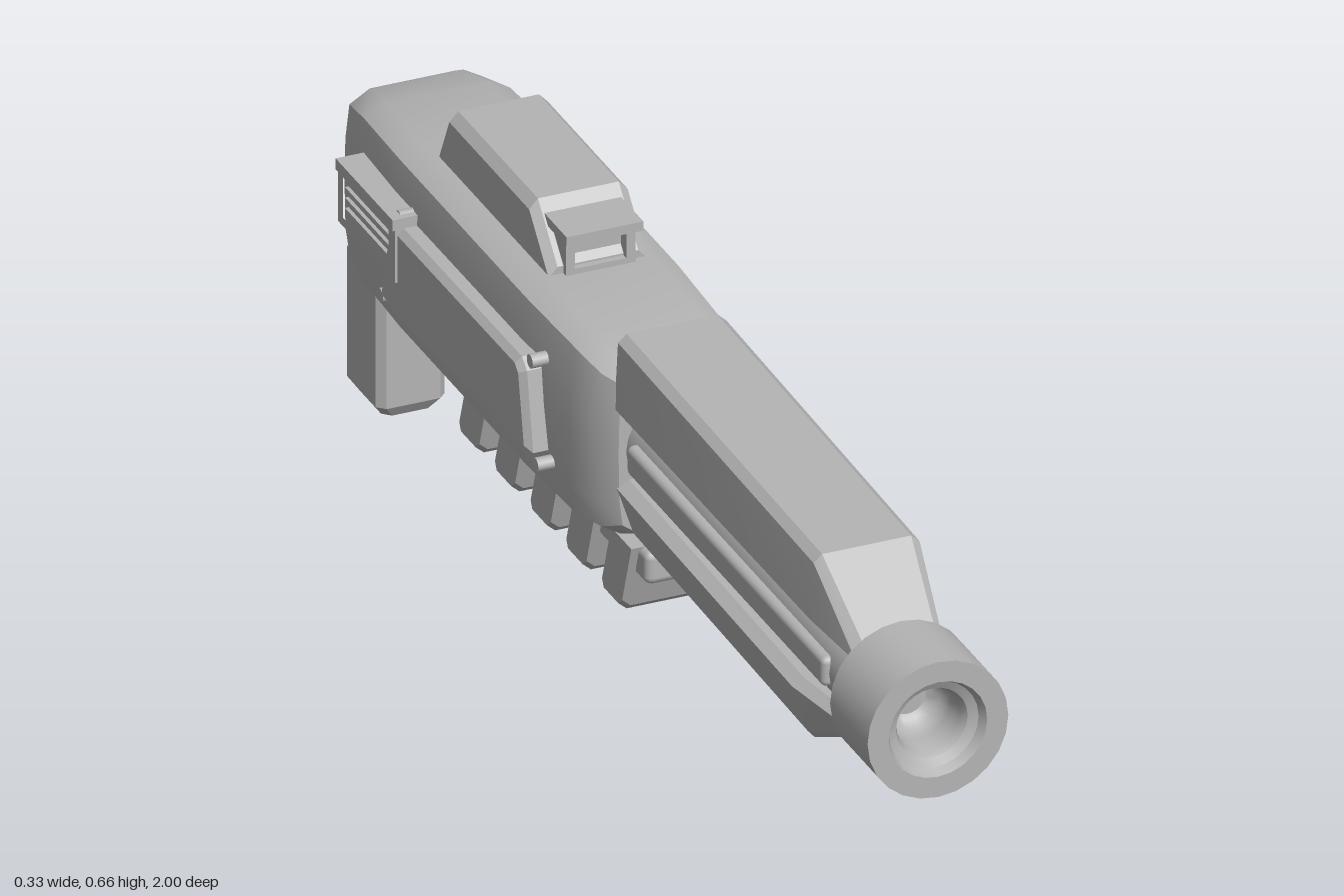
import * as THREE from 'three';
import { toCreasedNormals } from 'three/addons/utils/BufferGeometryUtils.js';
import { RoundedBoxGeometry } from 'three/addons/geometries/RoundedBoxGeometry.js';

const grey = new THREE.MeshStandardMaterial({ color: 0xb4b4b4 });
grey.name = 'plain grey';

// Mirrors the right half of a cross-section, listed from bottom to top
const sym = (half) => [...half, ...half.map(([x, y]) => [-x, y]).reverse()];

// Skins closed convex sections ordered from back to front: [z, points]
function loft(sections, crease = 0.5) {
  const n = sections[0][1].length, pos = [], idx = [];
  for (const [z, pts] of sections) for (const [x, y] of pts) pos.push(x, y, z);
  for (let s = 0; s < sections.length - 1; s++) {
    for (let i = 0; i < n; i++) {
      const a = s * n + i, b = s * n + (i + 1) % n;
      idx.push(a, b, b + n, a, b + n, a + n);
    }
  }
  const last = (sections.length - 1) * n;
  for (let i = 1; i < n - 1; i++) {
    idx.push(0, i + 1, i, last, last + i, last + i + 1);
  }
  const g = new THREE.BufferGeometry();
  g.setAttribute('position', new THREE.Float32BufferAttribute(pos, 3));
  g.setIndex(idx);
  return toCreasedNormals(g, crease);
}

export function createModel() {
  const root = new THREE.Group();
  root.name = 'blaster';

  const add = (name, geo, x = 0, y = 0, z = 0) => {
    const m = new THREE.Mesh(geo, grey);
    m.name = name;
    m.position.set(x, y, z);
    root.add(m);
    return m;
  };
  // Box given by its limits, with bevelled edges when r > 0
  const box = (name, [x0, x1], [y0, y1], [z0, z1], r = 0) => {
    const d = [x1 - x0, y1 - y0, z1 - z0];
    const g = r ? new RoundedBoxGeometry(...d, 2, r) : new THREE.BoxGeometry(...d);
    return add(name, g, (x0 + x1) / 2, (y0 + y1) / 2, (z0 + z1) / 2);
  };
  // Outline in z and y pushed outwards from one flank
  const flank = (name, s, outline, x, depth, bevel, hole) => {
    const toV = ([z, y]) => new THREE.Vector2(-s * z, y);
    const shape = new THREE.Shape(outline.map(toV));
    if (hole) shape.holes.push(new THREE.Path(hole.map(toV)));
    const g = new THREE.ExtrudeGeometry(shape, {
      depth, bevelEnabled: bevel > 0, bevelSize: bevel, bevelThickness: bevel,
      bevelOffset: -bevel, bevelSegments: 1,
    });
    g.rotateY(s * Math.PI / 2);
    return add(name, g, s * x, 0, 0);
  };

  // Main body: bulging flanks, softened ends
  const bodySection = (w, b, t) => sym([
    [w * 0.66, b], [w * 0.93, b + 0.018], [w * 0.985, b + 0.06], [w, 0.42],
    [w * 0.985, t - 0.07], [w * 0.93, t - 0.018], [w * 0.66, t],
  ]);
  add('body', loft([
    [-0.88, 0.100, 0.285, 0.545], [-0.865, 0.112, 0.275, 0.553],
    [-0.79, 0.123, 0.267, 0.57], [-0.65, 0.128, 0.265, 0.573],
    [-0.2, 0.128, 0.265, 0.573], [-0.04, 0.122, 0.267, 0.571],
    [0.03, 0.11, 0.275, 0.56], [0.06, 0.088, 0.287, 0.55],
  ].map(([z, w, b, t]) => [z, bodySection(w, b, t)]), 0.55));

  // Upper and lower barrel shrouds with sloped noses
  const upper = (w, b, t) => sym([[w * 0.8, b], [w, b + 0.012], [w * 0.94, t - 0.012], [w * 0.79, t]]);
  add('upperShroud', loft([
    [0.05, upper(0.09, 0.48, 0.61)],
    [0.745, upper(0.088, 0.482, 0.597)],
    [0.868, upper(0.07, 0.47, 0.5)],
  ], 0.3));
  const lower = (w, b, t) => sym([[w * 0.6, b], [w * 0.72, b + 0.012], [w, t - 0.012], [w * 0.8, t]]);
  add('lowerShroud', loft([
    [0.04, lower(0.09, 0.277, 0.378)],
    [0.68, lower(0.088, 0.263, 0.365)],
    [0.85, lower(0.066, 0.345, 0.37)],
  ], 0.3));

  // Barrel core with a raised strip on each side
  const core = new THREE.CylinderGeometry(0.076, 0.076, 0.86, 24);
  core.rotateX(Math.PI / 2);
  add('barrel', core, 0, 0.423, 0.46);
  for (const s of [-1, 1]) {
    const xs = s > 0 ? [0.055, 0.086] : [-0.086, -0.055];
    box('barrelStrip', xs, [0.4, 0.448], [0.08, 0.785], 0.01);
  }

  // Muzzle with a hollow, rounded bore
  const profile = [[0.07, 0.866], [0.11, 0.866], [0.11, 1], [0.077, 1], [0.07, 0.985],
    [0.056, 0.978], [0.05, 0.965], [0.05, 0.93]];
  for (let i = 1; i <= 6; i++) {
    const a = i / 6 * Math.PI / 2;
    profile.push([0.05 * Math.cos(a), 0.93 - 0.05 * Math.sin(a)]);
  }
  const muzzle = new THREE.LatheGeometry(profile.map(([r, z]) => new THREE.Vector2(Math.max(r, 0), z)), 24);
  muzzle.rotateX(Math.PI / 2);
  add('muzzle', toCreasedNormals(muzzle, 0.6), 0, 0.423, 0);

  // Sight housing on top
  const sight = (w, t) => sym([[w, 0.56], [w, t - 0.015], [w * 0.82, t]]);
  add('sightHousing', loft([
    [-0.61, sight(0.077, 0.58)], [-0.57, sight(0.077, 0.662)],
    [-0.285, sight(0.077, 0.662)], [-0.215, sight(0.077, 0.585)],
  ], 0.3));
  // Front window of the sight: hood, cheeks and recessed pane
  box('sightHood', [-0.06, 0.06], [0.63, 0.645], [-0.32, -0.19]);
  for (const s of [-1, 1]) {
    const xs = s > 0 ? [0.04, 0.054] : [-0.054, -0.04];
    box('sightCheek', xs, [0.56, 0.63], [-0.29, -0.205]);
  }
  box('sightPane', [-0.04, 0.04], [0.56, 0.63], [-0.29, -0.225]);
  box('sightSill', [-0.04, 0.04], [0.56, 0.582], [-0.225, -0.205]);

  // Flank details: cover panel, rivets and louvred vent
  for (const s of [-1, 1]) {
    flank('sidePanel', s, [[-0.11, 0.352], [-0.64, 0.345], [-0.625, 0.42],
      [-0.6, 0.488], [-0.15, 0.49], [-0.132, 0.475]], 0.12, 0.027, 0.01);
    for (const [z, y] of [[-0.12, 0.497], [-0.1, 0.338], [-0.655, 0.338], [-0.59, 0.497]]) {
      const rivet = new THREE.CylinderGeometry(0.011, 0.011, 0.038, 10);
      rivet.rotateZ(Math.PI / 2);
      add('rivet', rivet, s * 0.129, y, z);
    }
    flank('ventFrame', s, [[-0.572, 0.402], [-0.775, 0.402], [-0.775, 0.503], [-0.572, 0.503]],
      0.115, 0.046, 0, [[-0.595, 0.416], [-0.758, 0.416], [-0.758, 0.486], [-0.595, 0.486]]);
    flank('ventLip', s, [[-0.572, 0.487], [-0.775, 0.487], [-0.775, 0.505], [-0.572, 0.505]], 0.12, 0.045, 0);
    flank('ventBack', s, [[-0.59, 0.41], [-0.76, 0.41], [-0.76, 0.49], [-0.59, 0.49]], 0.115, 0.026, 0);
    for (let i = 0; i < 4; i++) {
      const y = 0.421 + i * 0.017;
      flank('ventSlat', s, [[-0.59, y], [-0.76, y], [-0.76, y + 0.009], [-0.59, y + 0.009]], 0.135, 0.022, 0);
    }
  }

  // Fore grip: rail with five raked ribs
  box('gripRail', [-0.064, 0.064], [0.222, 0.275], [-0.57, 0.105], 0.012);
  const ribHalf = (b) => sym([[0.062, b], [0.077, b + 0.014], [0.077, 0.275]]);
  for (let i = 0; i < 5; i++) {
    const rib = loft([[-0.036, ribHalf(0.162)], [-0.026, ribHalf(0.15)],
      [0.026, ribHalf(0.15)], [0.036, ribHalf(0.162)]], 0.2);
    const p = rib.attributes.position;
    for (let k = 0; k < p.count; k++) p.setZ(k, p.getZ(k) + (p.getY(k) - 0.15) * 0.33);
    rib.computeVertexNormals();
    add('gripRib', rib, 0, 0, 0.003 - i * 0.1275);
  }

  // Rear bracket and hanging handle
  box('rearBracket', [-0.055, 0.055], [0.207, 0.285], [-0.885, -0.64], 0.014);
  box('bracketUpright', [-0.05, 0.05], [0.22, 0.315], [-0.892, -0.82], 0.012);
  const handle = (w, d) => [[-w + 0.012, -d], [w - 0.012, -d], [w, -d + 0.012], [w, d - 0.012],
    [w - 0.012, d], [-w + 0.012, d], [-w, d - 0.012], [-w, -d + 0.012]];
  const handleGeo = loft([[0, handle(0.04, 0.05)], [0.02, handle(0.054, 0.063)],
    [0.232, handle(0.054, 0.063)], [0.25, handle(0.042, 0.052)]], 0.3);
  handleGeo.rotateX(-Math.PI / 2);
  add('rearHandle', handleGeo, 0, 0, -0.937);

  return root;
}
